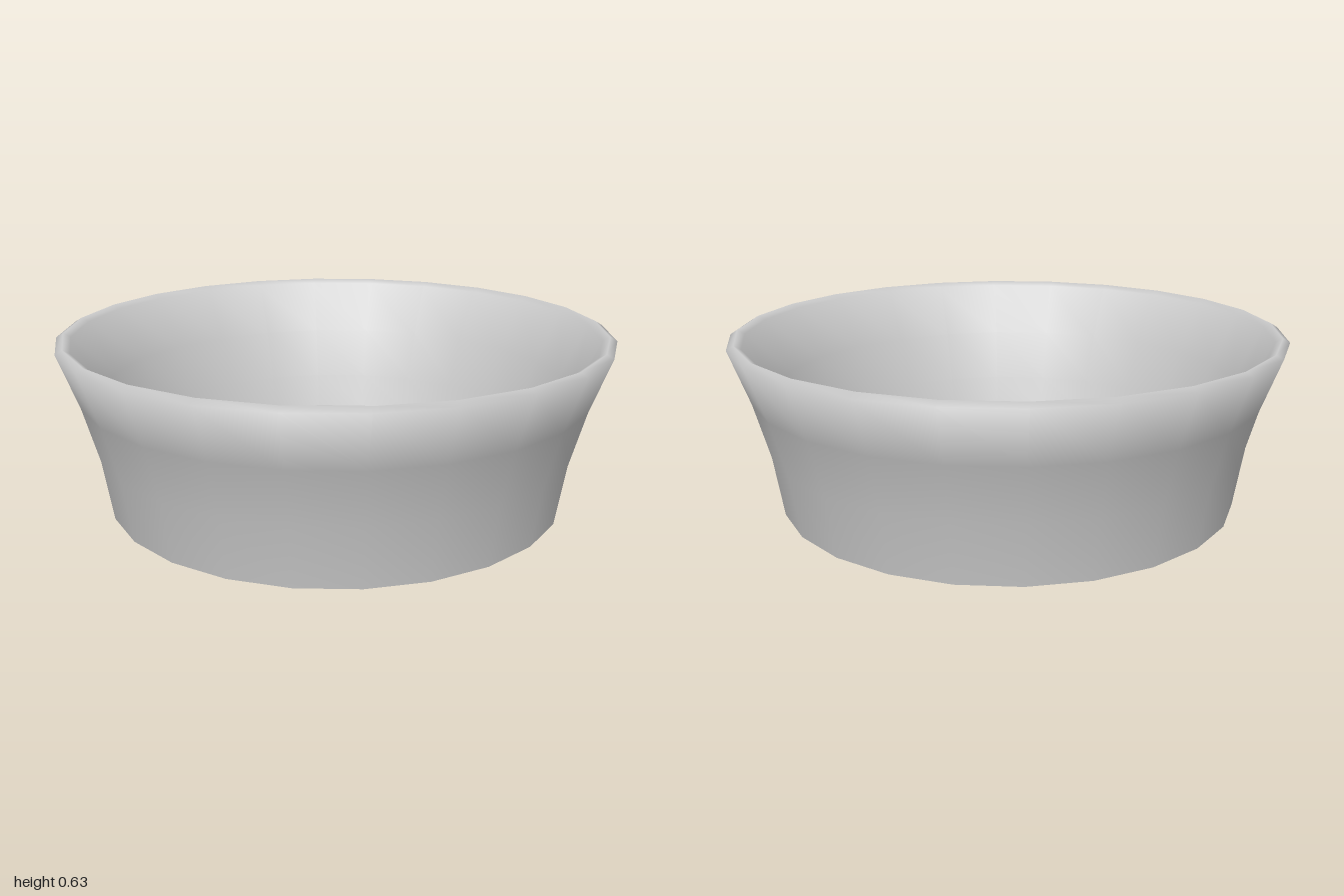
import * as THREE from 'three';
import { toCreasedNormals } from 'three/addons/utils/BufferGeometryUtils.js';

const SIDES = 24;

export function createModel() {
  const group = new THREE.Group();
  group.name = 'bowl';
  const material = new THREE.MeshStandardMaterial({ color: 0xcccccc });

  const addLathe = (name, profile) => {
    const points = profile.map(([r, y]) => new THREE.Vector2(r, y));
    const geometry = toCreasedNormals(new THREE.LatheGeometry(points, SIDES), Math.PI * 0.6);
    const mesh = new THREE.Mesh(geometry, material);
    mesh.name = name;
    group.add(mesh);
  };

  // Flared wall: up the outside, over the rounded rim, down the steeper inside
  addLathe('wall', [
    [0.838, 0], [0.873, 0.22], [0.928, 0.42], [1, 0.615],
    [0.975, 0.63], [0.95, 0.615],
    [0.85, 0.42], [0.785, 0.23], [0.745, 0.1],
  ]);

  // Gently domed floor and the matching hollow underneath, with sharp edges
  addLathe('innerFloor', [[0.745, 0.1], [0, 0.16]]);
  addLathe('base', [[0, 0.05], [0.838, 0]]);

  return group;
}
